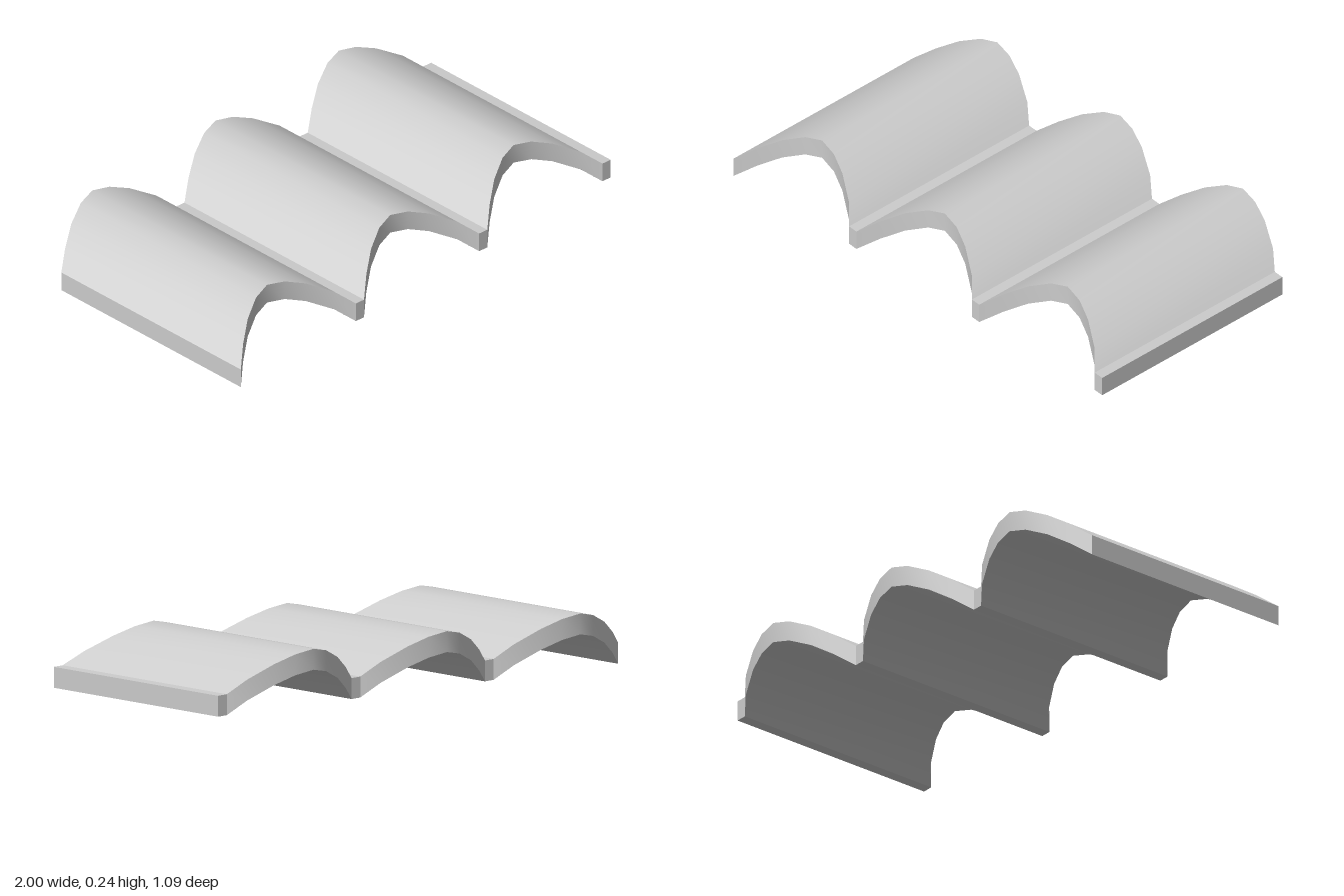
import * as THREE from 'three';
import { toCreasedNormals } from 'three/addons/utils/BufferGeometryUtils.js';

const THICKNESS = 0.08;
const WAVES = 3;
const PITCH = 2 / WAVES;

// One wave: [offset along x, rise]; an arch followed by a narrow flat valley
const WAVE = [
  [0, 0], [0.07, 0.055], [0.15, 0.107], [0.235, 0.145], [0.31, 0.16],
  [0.39, 0.145], [0.47, 0.113], [0.565, 0.057], [0.624, 0.002], [0.666, 0],
];

export function createModel() {
  // Stations across the width
  const stations = [[-1, 0]];
  for (let w = 0; w < WAVES; w++) {
    for (const [dx, rise] of WAVE.slice(1)) stations.push([-1 + w * PITCH + dx, rise]);
  }
  stations[stations.length - 1][0] = 1;

  // Four corners per station; both ends lean back as the sheet rises
  const positions = [];
  for (const [x, y] of stations) {
    const front = 0.543 - 1.03 * y;
    const back = -0.405 - 0.87 * y;
    positions.push(
      x, y, front,
      x, y, back,
      x, y + THICKNESS, back,
      x, y + THICKNESS, front,
    );
  }

  // Skin between neighbouring stations, then the two end caps
  const index = [];
  const last = (stations.length - 1) * 4;
  for (let s = 0; s < last; s += 4) {
    for (let k = 0; k < 4; k++) {
      const a = s + k, b = s + (k + 1) % 4;
      index.push(a, b, b + 4, a, b + 4, a + 4);
    }
  }
  index.push(0, 2, 1, 0, 3, 2);
  index.push(last, last + 1, last + 2, last, last + 2, last + 3);

  const geometry = new THREE.BufferGeometry();
  geometry.setAttribute('position', new THREE.Float32BufferAttribute(positions, 3));
  geometry.setIndex(index);

  const sheet = new THREE.Mesh(
    toCreasedNormals(geometry, 0.45),
    new THREE.MeshStandardMaterial({ color: 0xcccccc }),
  );
  sheet.name = 'wavyRoofTile';

  const group = new THREE.Group();
  group.name = 'roofTile';
  group.add(sheet);
  return group;
}
